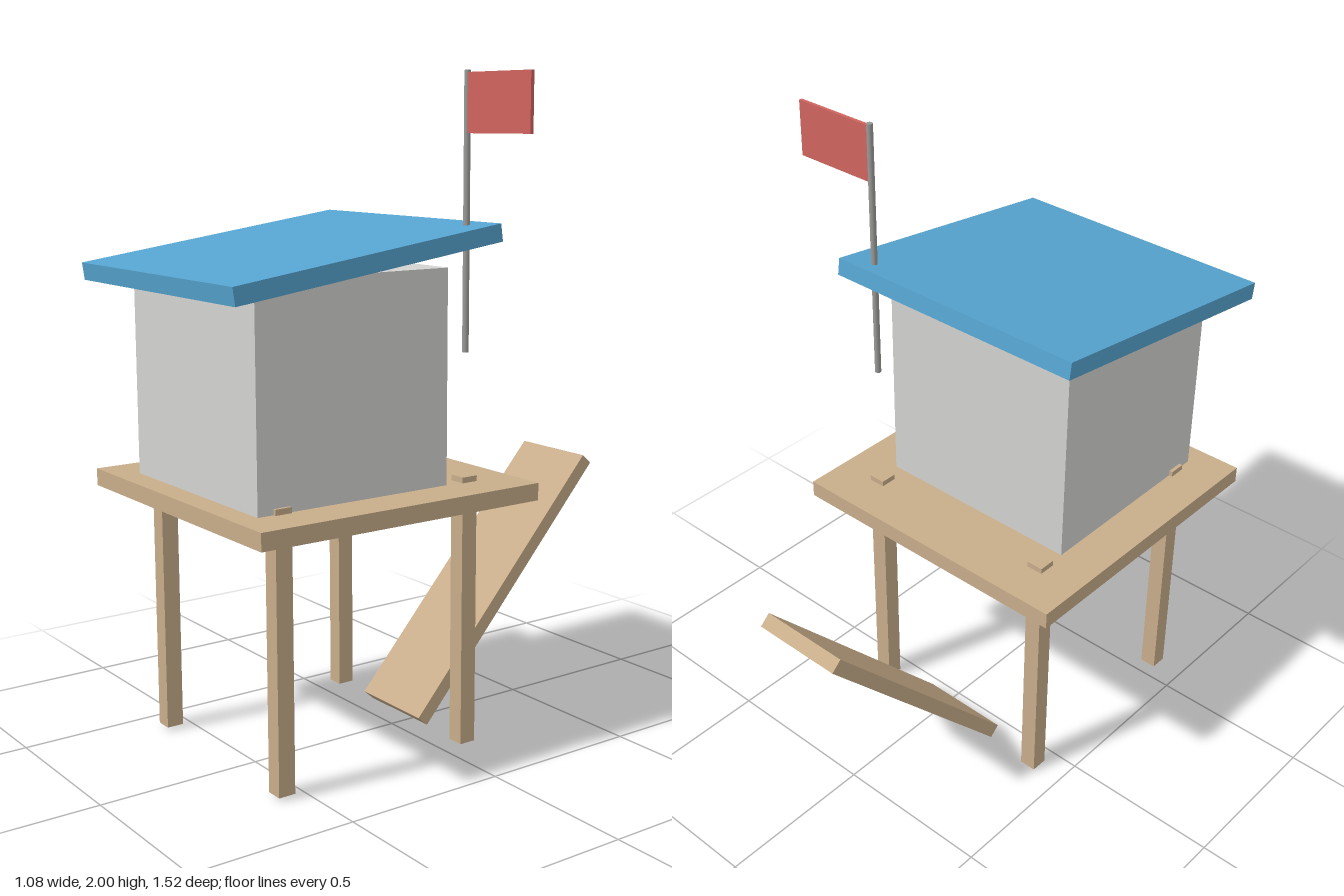
import * as THREE from 'three';

const material = (name, color) => {
  const m = new THREE.MeshStandardMaterial({ color });
  m.name = name;
  return m;
};

export function createModel() {
  const model = new THREE.Group();
  model.name = 'watchHut';
  const wood = material('wood', 0xc8ad8a);
  const plaster = material('pale grey wall', 0xd3d3d1);
  const blue = material('roof blue', 0x56a4d0);
  const red = material('flag red', 0xd0645e);
  const metal = material('pole grey', 0x9a9a98);

  function add(name, geometry, mat, x, y, z, tilt = 0) {
    const mesh = new THREE.Mesh(geometry, mat);
    mesh.name = name;
    mesh.position.set(x, y, z);
    mesh.rotation.x = tilt;
    model.add(mesh);
  }
  const box = (w, h, d) => new THREE.BoxGeometry(w, h, d);

  // Deck on four posts whose tops show just above the boards
  add('platform', box(0.945, 0.052, 0.95), wood, -0.07, 0.794, 0.24);
  for (const x of [-0.391, 0.249])
    for (const z of [0.565, -0.08])
      add('leg', box(0.053, 0.823, 0.053), wood, x, 0.4255, z);

  // Cabin, with the sloping roof sunk over its front edge
  add('cabin', box(0.672, 0.632, 0.642), plaster, -0.07, 1.136, 0.32);
  add('roof', box(0.858, 0.052, 0.887), blue, -0.071, 1.4885, 0.3175, 0.141);

  // Ramp rising towards the back
  add('ramp', box(0.29, 0.044, 1.009), wood, -0.071, 0.394, -0.403, 0.838);

  // Pole through the back of the roof, and its flag
  add('flagPole', new THREE.CylinderGeometry(0.0095, 0.0095, 0.795, 16), metal, 0.267, 1.6025, -0.066);
  add('flag', box(0.268, 0.168, 0.011), red, 0.406, 1.91, -0.066);

  return model;
}
